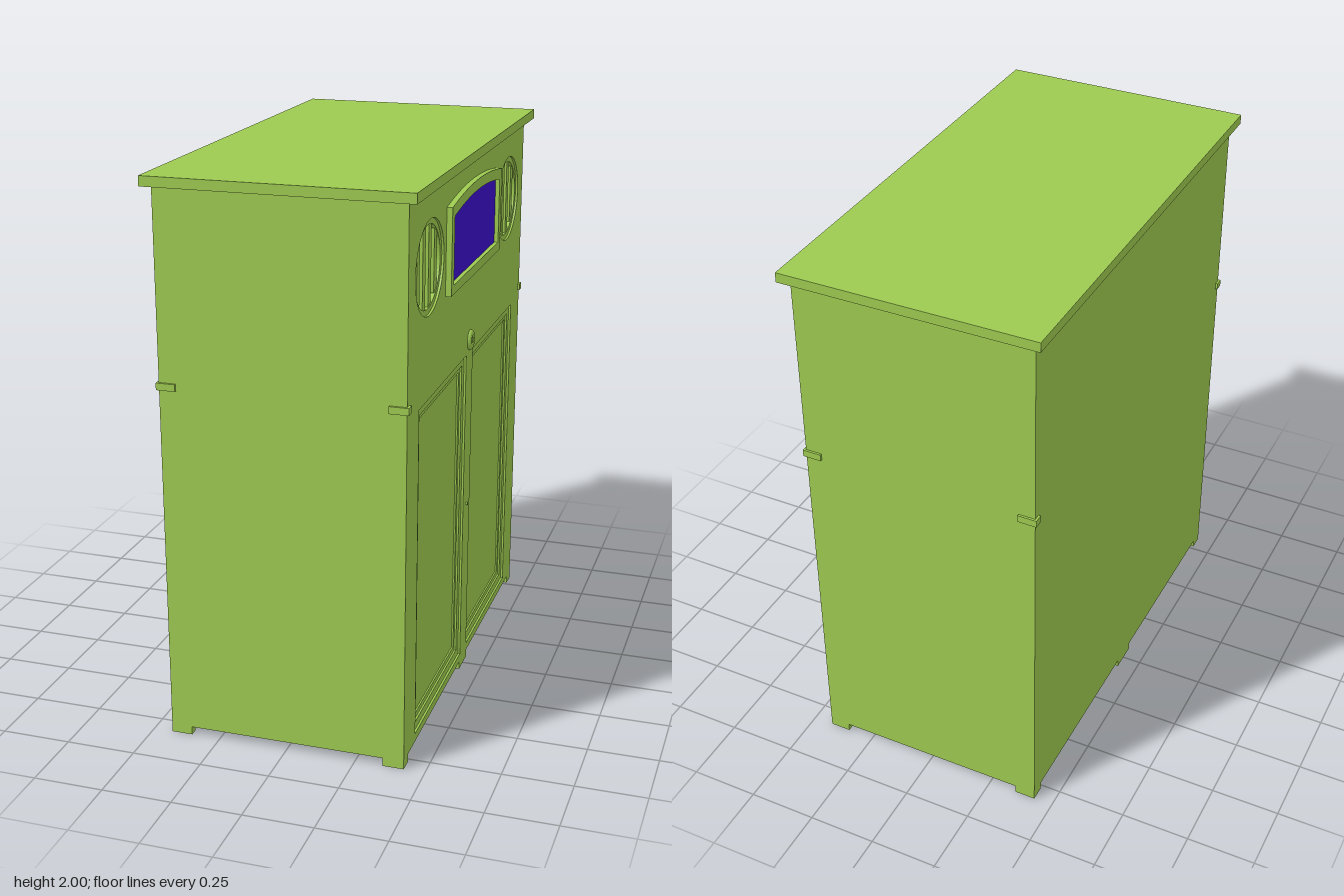
import * as THREE from 'three';

const green = new THREE.MeshStandardMaterial({ color: 0x9dca50 });
const blue = new THREE.MeshStandardMaterial({ color: 0x3a10cc });
const FACE = 0.425; // x of the decorated face

function add(parent, name, geometry, material = green) {
  const mesh = new THREE.Mesh(geometry, material);
  mesh.name = name;
  parent.add(mesh);
  return mesh;
}

// Box given by its limits on each axis
function box(parent, name, x0, x1, y0, y1, z0, z1) {
  const mesh = add(parent, name, new THREE.BoxGeometry(x1 - x0, y1 - y0, z1 - z0));
  mesh.position.set((x0 + x1) / 2, (y0 + y1) / 2, (z0 + z1) / 2);
  return mesh;
}

// Outline drawn across the decorated face, extruded from x0 to x1
function plate(parent, name, shape, x0, x1, material = green) {
  const geometry = new THREE.ExtrudeGeometry(shape, { depth: x1 - x0, bevelEnabled: false, curveSegments: 32 });
  geometry.rotateY(Math.PI / 2).translate(x0, 0, 0);
  return add(parent, name, geometry, material);
}

function trace(path, points) {
  path.setFromPoints(points.map(([u, v]) => new THREE.Vector2(u, v)));
  path.closePath();
  return path;
}
const rect = (path, u0, u1, v0, v1) => trace(path, [[u0, v0], [u1, v0], [u1, v1], [u0, v1]]);

// Window outline with a gently arched top
function arch(path, half, bottom, side, crown) {
  const points = [[-half, bottom], [half, bottom]];
  for (let i = 0; i <= 20; i++) {
    const t = 1 - i / 10;
    points.push([t * half, side + (crown - side) * (1 - t * t)]);
  }
  return trace(path, points);
}

function disc(parent, name, radius, depth, y) {
  const mesh = add(parent, name, new THREE.CylinderGeometry(radius, radius, depth, 32));
  mesh.rotation.z = -Math.PI / 2;
  mesh.position.set(FACE + depth / 2, y, 0);
  return mesh;
}

export function createModel() {
  const group = new THREE.Group();
  group.name = 'cabinet';

  // Carcass and overhanging top
  box(group, 'carcass', -0.43, 0.395, 0.03, 1.965, -0.82, 0.82);
  box(group, 'top', -0.46, 0.458, 1.965, 2, -0.85, 0.85);

  // Face panel with openings for the doors and the oval grilles
  const face = rect(new THREE.Shape(), -0.82, 0.82, 0.03, 1.965);
  for (const s of [-1, 1]) {
    face.holes.push(rect(new THREE.Path(), s * 0.363 - 0.315, s * 0.363 + 0.315, 0.06, 1.25));
    face.holes.push(new THREE.Path().absellipse(s * 0.565, 1.7, 0.175, 0.16, 0, Math.PI * 2));
  }
  plate(group, 'facePanel', face, 0.395, FACE);

  for (const s of [-1, 1]) {
    // Door with stepped, sunken moulding
    const door = new THREE.Group();
    door.name = s > 0 ? 'leftDoor' : 'rightDoor';
    group.add(door);
    const c = s * 0.363;
    const outer = rect(new THREE.Shape(), c - 0.315, c + 0.315, 0.06, 1.25);
    outer.holes.push(rect(new THREE.Path(), c - 0.283, c + 0.283, 0.09, 1.22));
    plate(door, 'doorFrame', outer, 0.395, 0.417);
    const inner = rect(new THREE.Shape(), c - 0.283, c + 0.283, 0.09, 1.22);
    inner.holes.push(rect(new THREE.Path(), c - 0.265, c + 0.265, 0.11, 1.2));
    plate(door, 'doorMoulding', inner, 0.395, 0.41);
    box(door, 'doorPanel', 0.39, 0.404, 0.11, 1.2, c - 0.265, c + 0.265);

    // Oval grille: narrow inner rim and upright slats
    const grille = new THREE.Group();
    grille.name = s > 0 ? 'leftGrille' : 'rightGrille';
    group.add(grille);
    const rim = new THREE.Shape().absellipse(s * 0.565, 1.7, 0.175, 0.16, 0, Math.PI * 2);
    rim.holes.push(new THREE.Path().absellipse(s * 0.565, 1.7, 0.155, 0.14, 0, Math.PI * 2));
    plate(grille, 'grilleRim', rim, 0.395, 0.417);
    for (let i = 0; i < 4; i++) {
      const u = -0.105 + i * 0.07;
      const h = 0.145 * Math.sqrt(1 - (u / 0.16) ** 2);
      box(grille, 'grilleSlat', 0.39, 0.414, 1.7 - h, 1.7 + h, s * 0.565 + u - 0.017, s * 0.565 + u + 0.017);
    }
  }

  // Arched window: raised frame around a coloured pane
  const frame = arch(new THREE.Shape(), 0.362, 1.55, 1.855, 1.884);
  frame.holes.push(arch(new THREE.Path(), 0.328, 1.583, 1.82, 1.847));
  plate(group, 'windowFrame', frame, FACE - 0.005, 0.445);
  plate(group, 'windowPane', arch(new THREE.Shape(), 0.328, 1.583, 1.82, 1.847), 0.42, 0.43, blue);

  // Round medallion and the small knob between the doors
  const profile = [[0, 0.005], [0.017, 0.005], [0.017, 0.012], [0.03, 0.012], [0.037, 0.006], [0.037, 0]];
  const medallion = add(group, 'medallion',
    new THREE.LatheGeometry(profile.map(([r, h]) => new THREE.Vector2(r, h)).reverse(), 32));
  medallion.rotation.z = -Math.PI / 2;
  medallion.position.set(FACE, 1.297, 0);
  disc(group, 'medallionCentre', 0.01, 0.012, 1.297);
  disc(group, 'doorKnob', 0.006, 0.006, 0.66);

  // Bracket feet and clasps wrapped around the four corners
  for (const sx of [-1, 1]) {
    const edge = sx > 0 ? FACE : -0.43;
    const span = (d) => [Math.min(edge, edge - sx * d), Math.max(edge, edge - sx * d)];
    for (const sz of [-1, 1]) {
      const range = (a, b) => (sz > 0 ? [a, b] : [-b, -a]);
      box(group, 'cornerFootSide', ...span(0.075), 0, 0.03, ...range(0.79, 0.82));
      box(group, 'cornerFoot', ...span(0.03), 0, 0.03, ...range(0.765, 0.79));
      const out = edge + sx * 0.008;
      const clasp = [Math.min(out, edge - sx * 0.06), Math.max(out, edge - sx * 0.06)];
      box(group, 'cornerClaspSide', ...clasp, 1.28, 1.305, ...range(0.815, 0.828));
      box(group, 'cornerClasp', Math.min(out, edge), Math.max(out, edge), 1.28, 1.305, ...range(0.795, 0.815));
    }
    box(group, 'middleFoot', ...span(0.03), 0, 0.03, -0.055, 0.055);
  }
  return group;
}
